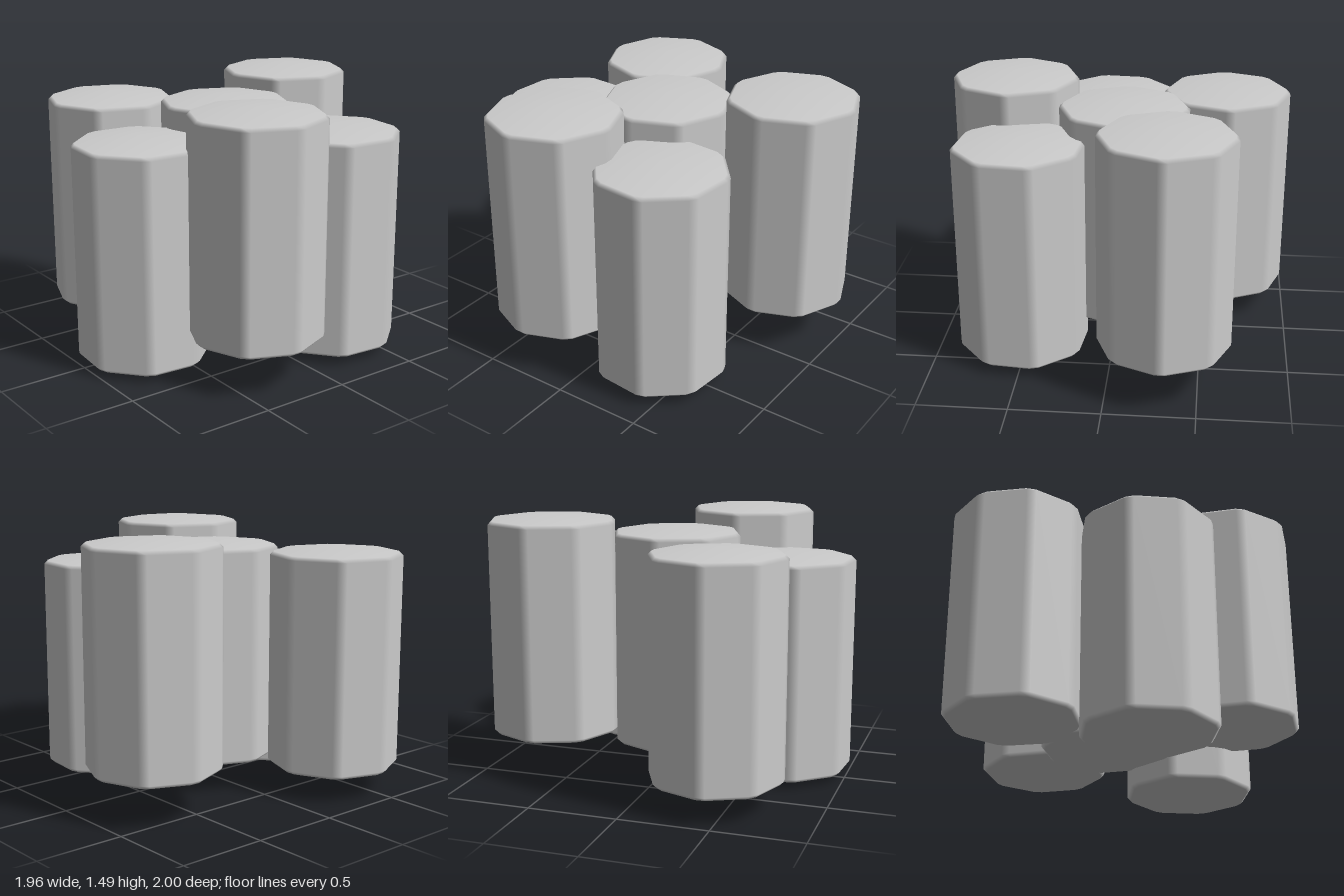
import * as THREE from 'three';

const SIDES = 8;
const RADIUS = 0.378;
const CUT = 0.03; // width of the softened vertical edges
const HEIGHT = 1.28;

// Octagonal prism with softened edges and shallow conical ends, built ring by ring.
function prismGeometry() {
  // Each octagon corner becomes two points, each with the normal of its own side.
  const section = [];
  const corner = (k) => {
    const a = (k * Math.PI * 2) / SIDES;
    return new THREE.Vector2(Math.cos(a), Math.sin(a)).multiplyScalar(RADIUS);
  };
  const edge = 2 * RADIUS * Math.sin(Math.PI / SIDES);
  for (let k = 0; k < SIDES; k++) {
    for (const s of [-1, 1]) {
      const p = corner(k).lerp(corner(k + s), CUT / edge);
      const a = ((k + s / 2) * Math.PI * 2) / SIDES;
      section.push({ p, n: new THREE.Vector2(Math.cos(a), Math.sin(a)) });
    }
  }

  // Rings from bottom to top: scale, height, and vertical direction of the cap normal (0 = wall)
  const rings = [
    { s: 0, y: 0, cap: -1 },
    { s: 0.945, y: 0.035, cap: -1 },
    { s: 1, y: 0.055, cap: 0 },
    { s: 1, y: HEIGHT - 0.055, cap: 0 },
    { s: 0.945, y: HEIGHT - 0.035, cap: 1 },
    { s: 0, y: HEIGHT, cap: 1 },
  ];
  const positions = [], normals = [], index = [];
  const n = section.length;
  const normal = new THREE.Vector3();
  rings.forEach(({ s, y, cap }, r) => {
    section.forEach(({ p, n: side }, i) => {
      positions.push(p.x * s, y, -p.y * s);
      if (cap) normal.set(p.x * s * 0.27, cap, -p.y * s * 0.27).normalize();
      else normal.set(side.x, 0, -side.y);
      normals.push(normal.x, normal.y, normal.z);
      if (r === 0) return;
      const j = (i + 1) % n, lo = (r - 1) * n, hi = r * n;
      if (r > 1) index.push(lo + i, lo + j, hi + i);
      if (r < rings.length - 1) index.push(lo + j, hi + j, hi + i);
    });
  });

  const geometry = new THREE.BufferGeometry();
  geometry.setAttribute('position', new THREE.Float32BufferAttribute(positions, 3));
  geometry.setAttribute('normal', new THREE.Float32BufferAttribute(normals, 3));
  geometry.setIndex(index);
  return geometry;
}

export function createModel() {
  const group = new THREE.Group();
  group.name = 'columnCluster';
  const material = new THREE.MeshStandardMaterial({ color: 0xcccccc });
  const geometry = prismGeometry();

  // x, base height, z, turn in degrees
  const columns = {
    centreColumn: [-0.04, 0.13, 0.01, -1],
    backRightColumn: [-0.31, 0.205, -0.635, -1],
    backLeftColumn: [0.51, 0.015, -0.33, 17],
    leftColumn: [0.615, 0.205, 0.285, -1.5],
    frontColumn: [0.06, 0, 0.645, 18],
    frontRightColumn: [-0.615, 0.105, 0.42, 3],
  };
  for (const [name, [x, y, z, turn]] of Object.entries(columns)) {
    const column = new THREE.Mesh(geometry, material);
    column.name = name;
    column.position.set(x, y, z);
    column.rotation.y = THREE.MathUtils.degToRad(turn);
    group.add(column);
  }
  return group;
}
